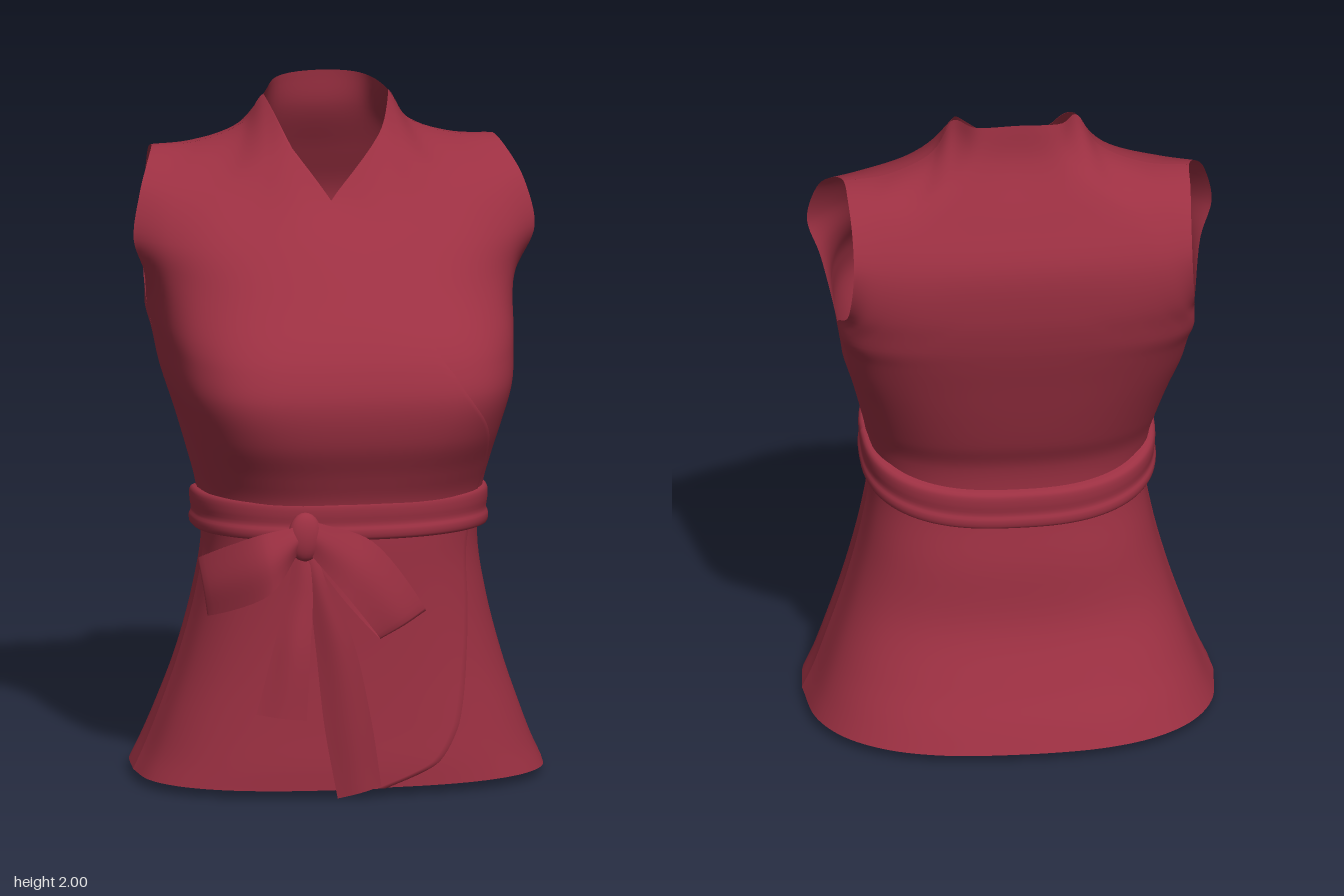
import * as THREE from 'three';

const V = (p) => new THREE.Vector3(...p);
const spline = (pts) => new THREE.CatmullRomCurve3(pts, false, 'centripetal');

// Smooth surface through rows of points: u runs -1..1 along a row, v runs 0..1 over the rows
function surface(rows) {
  const curves = rows.map((r) => spline(r.map(V)));
  const at = (u, v) => spline(curves.map((c) => c.getPoint((u + 1) / 2))).getPoint(v);
  return { curves, at };
}

// Grid of quads from a function of s, t in 0..1
function grid(ns, nt, fn) {
  const pos = [], idx = [];
  for (let j = 0; j <= nt; j++) {
    for (let i = 0; i <= ns; i++) {
      const p = fn(i / ns, j / nt);
      pos.push(p.x, p.y, p.z);
      if (i < ns && j < nt) {
        const a = j * (ns + 1) + i, b = a + ns + 1;
        idx.push(a, a + 1, b + 1, a, b + 1, b);
      }
    }
  }
  const g = new THREE.BufferGeometry();
  g.setAttribute('position', new THREE.Float32BufferAttribute(pos, 3));
  g.setIndex(idx);
  g.computeVertexNormals();
  return g;
}

const mirrorRow = (half) => [
  ...half.slice(1).reverse().map(([x, y, z]) => [-x, y, z]),
  ...half,
];

// Half section from the centre line to the side seam; a smaller power is boxier
function section(y, w, zSide, zMid, power) {
  const half = [];
  for (let k = 0; k <= 5; k++) {
    const a = (Math.PI / 2) * (1 - k / 5);
    const c = k === 0 ? 0 : Math.cos(a) ** power, s = Math.sin(a) ** power;
    half.push([w * c, y, zSide + (zMid - zSide) * s]);
  }
  return half;
}

// Torso rings: y, half width, side z, front z, back z, front power, back power
const rings = [
  [0.03, 0.595, 0, 0.365, -0.475, 0.77, 0.77],
  [0.1, 0.563, 0, 0.365, -0.44, 0.77, 0.77],
  [0.2, 0.525, 0.01, 0.36, -0.385, 0.77, 0.77],
  [0.36, 0.47, 0.02, 0.355, -0.315, 0.77, 0.77],
  [0.55, 0.42, 0.03, 0.355, -0.295, 0.77, 0.77],
  [0.72, 0.395, 0.03, 0.36, -0.27, 0.77, 0.77],
  [0.86, 0.41, 0.01, 0.365, -0.28, 0.74, 0.77],
  [0.95, 0.43, -0.02, 0.4, -0.32, 0.66, 0.75],
  [1.06, 0.457, -0.07, 0.452, -0.36, 0.56, 0.7],
  [1.18, 0.49, -0.13, 0.472, -0.4, 0.51, 0.64],
  [1.27, 0.503, -0.18, 0.45, -0.43, 0.54, 0.58],
  [1.34, 0.515, -0.23, 0.412, -0.45, 0.6, 0.52],
];

// Half rows from armpit to shoulder, centre line first, armhole last
const shoulder = [[0.24, 1.875, -0.22], [0.37, 1.82, -0.24], [0.5, 1.81, -0.25]];
const frontYoke = [
  [[0, 1.46, 0.315], [0.18, 1.46, 0.3], [0.32, 1.46, 0.25], [0.42, 1.46, 0.17], [0.495, 1.47, 0.06], [0.55, 1.48, -0.08]],
  [[0, 1.59, 0.2], [0.16, 1.58, 0.195], [0.29, 1.58, 0.16], [0.4, 1.58, 0.11], [0.5, 1.58, 0.035], [0.585, 1.58, -0.05]],
  [[0, 1.7, 0.08], [0.13, 1.71, 0.08], [0.25, 1.7, 0.055], [0.36, 1.7, 0.02], [0.47, 1.7, -0.03], [0.56, 1.71, -0.09]],
  [[0, 1.85, 0.0], [0.13, 1.865, -0.03], [0.2, 1.835, -0.045], [0.29, 1.79, -0.07], [0.42, 1.775, -0.12], [0.525, 1.78, -0.17]],
  [[0, 2, -0.05], [0.1, 1.99, -0.1], [0.182, 1.962, -0.2], ...shoulder],
];
const backYoke = [
  [[0, 1.45, -0.47], [0.17, 1.45, -0.47], [0.31, 1.45, -0.467], [0.4, 1.45, -0.457], [0.46, 1.45, -0.44], [0.5, 1.45, -0.405]],
  [[0, 1.6, -0.47], [0.17, 1.6, -0.47], [0.3, 1.6, -0.468], [0.38, 1.6, -0.465], [0.44, 1.6, -0.46], [0.49, 1.6, -0.455]],
  [[0, 1.74, -0.41], [0.15, 1.74, -0.41], [0.26, 1.735, -0.41], [0.34, 1.73, -0.41], [0.42, 1.72, -0.41], [0.49, 1.71, -0.415]],
  [[0, 1.89, -0.335], [0.12, 1.885, -0.337], [0.2, 1.855, -0.33], [0.28, 1.81, -0.34], [0.4, 1.79, -0.345], [0.495, 1.785, -0.34]],
  [[0, 2, -0.32], [0.122, 1.99, -0.302], [0.182, 1.962, -0.2], ...shoulder],
];

// x of the over and under panel edges on each front row
const overX = [0.08, 0.24, 0.3, 0.325, 0.335, 0.335, 0.37, 0.39, 0.385, 0.32, 0.26, 0.215, 0.14, 0.055, -0.03, -0.14, -0.182, -0.182];
const underX = [-0.08, -0.24, ...Array(8).fill(-0.3), -0.27, -0.24, -0.18, -0.1, -0.03, 0.125, 0.182, 0.182];

// A row past the shoulder line, so front and back meet smoothly there
function beyond(yoke, other) {
  const [d, e] = yoke.slice(-2);
  const straight = [1, 1, 0.6, 0, 0, 0];
  return other[3].map((p, k) => p.map((q, i) =>
    q + straight[k] * (2 * e[k][i] - d[k][i] - q)));
}
const END = 16 / 17;

// u at which a row curve reaches the given x
function solveU(curve, x) {
  let lo = 0, hi = 1;
  for (let i = 0; i < 30; i++) {
    const m = (lo + hi) / 2;
    if (curve.getPoint(m).x < x) lo = m; else hi = m;
  }
  return lo + hi - 1;
}

export function createModel() {
  const group = new THREE.Group();
  const cloth = new THREE.MeshStandardMaterial({ color: 0x9c3042, side: THREE.DoubleSide });
  cloth.name = 'wine red cloth';
  const add = (name, geometry) => {
    const mesh = new THREE.Mesh(geometry, cloth);
    mesh.name = name;
    group.add(mesh);
    return mesh;
  };

  // Front: two crossing panels trimmed from one surface
  const front = surface([
    ...rings.map(([y, w, zs, zf, , power]) => section(y, w, zs, zf, power)),
    ...frontYoke,
    beyond(frontYoke, backYoke),
  ].map(mirrorRow));
  const edgeCurve = (xs) => spline(front.curves.map((c, i) => new THREE.Vector3(solveU(c, xs[i]), i, 0)));
  const overEdge = edgeCurve(overX), underEdge = edgeCurve(underX);
  add('overPanel', grid(48, 96, (s, t) => {
    // the last column turns the hem in against the under panel
    const u = -1 + (overEdge.getPoint(t * END).x + 1) * Math.min(1, (s * 48) / 47);
    const p = front.at(u, t * END);
    if (s < 1) p.z += 0.012 * (1 - u * u) * (1 - t ** 4);
    return p;
  }));
  add('underPanel', grid(48, 96, (s, t) => {
    const e = underEdge.getPoint(t * END).x;
    return front.at(e + (1 - e) * s, t * END);
  }));

  // Back, with the raised collar in its top edge
  const back = surface([
    ...rings.map(([y, w, zs, , zb, , power]) => section(y, w, zs, zb, power)),
    ...backYoke,
    beyond(backYoke, frontYoke),
  ].map(mirrorRow));
  add('backPanel', grid(64, 96, (s, t) => back.at(1 - 2 * s, t * END)));

  // Sash: folded band that dips towards the back
  const fold = spline([[-0.06, -0.012], [-0.054, 0.01], [-0.03, 0.015], [-0.012, 0.009], [0.02, 0.013], [0.052, 0.01], [0.06, -0.012]]
    .map(([y, o]) => new THREE.Vector3(o, y, 0)));
  const pw = (q) => Math.sign(q) * Math.abs(q) ** 0.77;
  add('sash', grid(96, 18, (s, t) => {
    const a = s * Math.PI * 2, c = Math.cos(a), n = -Math.sin(a);
    const f = fold.getPoint(t);
    const depth = n > 0 ? 0.348 : 0.318;
    return new THREE.Vector3(
      (0.412 + f.x) * pw(c),
      0.8 + 0.043 * n - 0.022 * n * n + f.y,
      0.02 + (depth + f.x) * pw(n),
    );
  }));

  // Bow: each row is a pair of ribbon edge points, with a raised middle
  const ribbon = (name, pairs, bulge) => {
    const patch = surface(pairs.map(([a, b], i) => {
      const mid = a.map((q, k) => (q + b[k]) / 2);
      mid[2] += bulge * (i < pairs.length / 2 ? 1 : 0.4);
      return [a, mid, b];
    }));
    add(name, grid(10, 32, (s, t) => patch.at(2 * s - 1, t)));
  };
  ribbon('rightLoop', [
    [[-0.17, 0.82, 0.41], [-0.18, 0.74, 0.41]],
    [[-0.3, 0.8, 0.43], [-0.27, 0.63, 0.455]],
    [[-0.455, 0.71, 0.29], [-0.43, 0.545, 0.315]],
    [[-0.32, 0.77, 0.345], [-0.28, 0.62, 0.365]],
    [[-0.17, 0.8, 0.385], [-0.18, 0.74, 0.385]],
  ], 0.015);
  ribbon('leftLoop', [
    [[-0.15, 0.74, 0.41], [-0.13, 0.83, 0.41]],
    [[-0.04, 0.61, 0.475], [0.03, 0.775, 0.45]],
    [[0.05, 0.49, 0.46], [0.19, 0.56, 0.42]],
    [[-0.05, 0.6, 0.41], [0.02, 0.75, 0.39]],
    [[-0.15, 0.74, 0.39], [-0.13, 0.81, 0.385]],
  ], 0.012);
  ribbon('shortTail', [
    [[-0.16, 0.25, 0.435], [-0.3, 0.265, 0.395]],
    [[-0.15, 0.45, 0.435], [-0.25, 0.46, 0.395]],
    [[-0.14, 0.62, 0.42], [-0.21, 0.62, 0.395]],
    [[-0.15, 0.76, 0.4], [-0.19, 0.76, 0.4]],
  ], 0.015);
  ribbon('longTail', [
    [[0.065, 0.04, 0.39], [-0.06, 0.005, 0.375]],
    [[0.03, 0.25, 0.415], [-0.1, 0.22, 0.385]],
    [[-0.03, 0.5, 0.43], [-0.13, 0.48, 0.395]],
    [[-0.1, 0.65, 0.42], [-0.15, 0.64, 0.4]],
    [[-0.13, 0.76, 0.4], [-0.18, 0.76, 0.4]],
  ], 0.012);

  // Knot
  const knot = add('knot', new THREE.SphereGeometry(1, 20, 14));
  knot.scale.set(0.05, 0.072, 0.03);
  knot.position.set(-0.16, 0.785, 0.402);
  return group;
}
